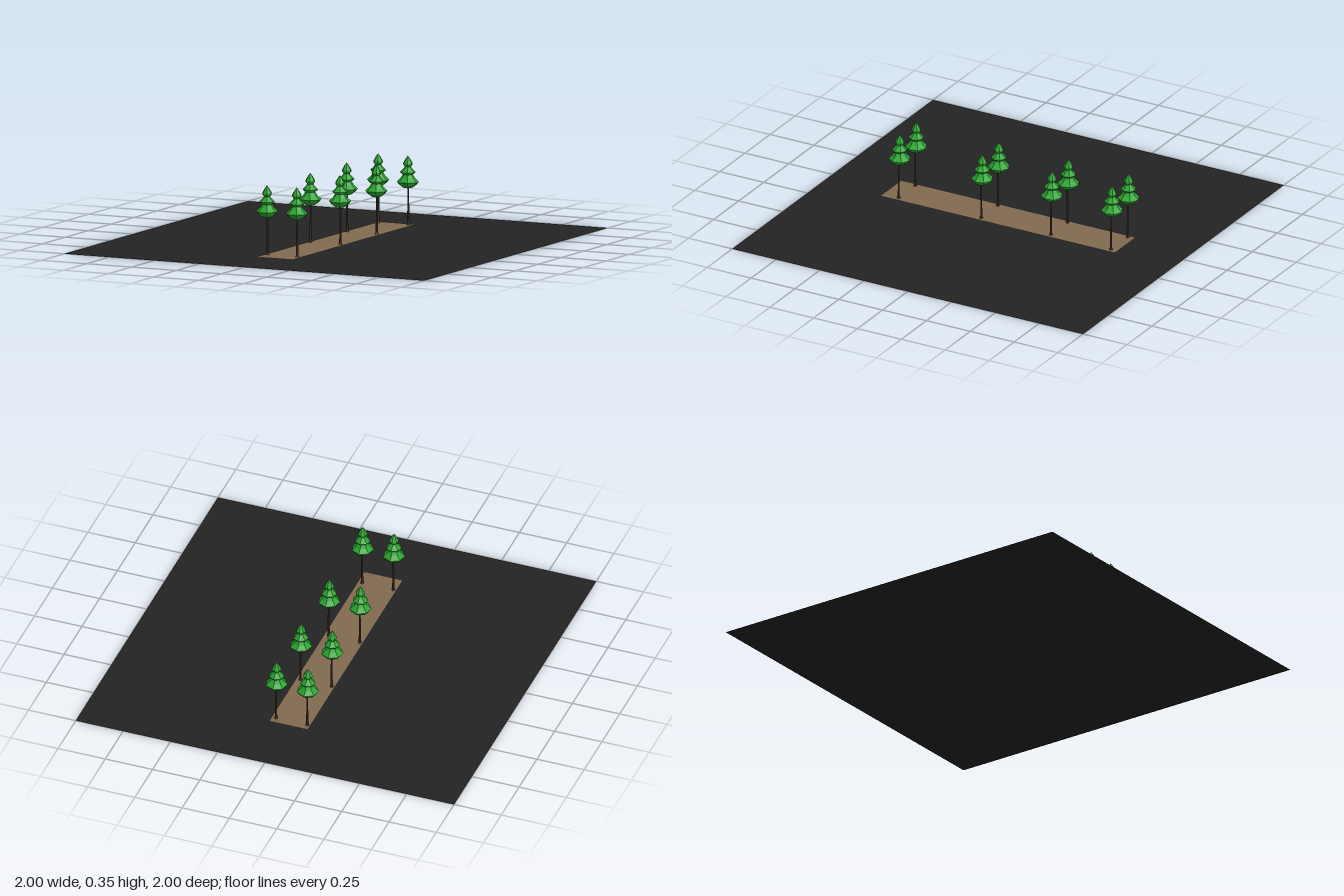
import * as THREE from 'three';

function material(name, color, side = THREE.FrontSide) {
  const m = new THREE.MeshStandardMaterial({ color, side });
  m.name = name;
  return m;
}

// Faceted solid of revolution from [radius, height] pairs, bottom to top
function facetedLathe(profile, sides, phiStart = 0) {
  const points = profile.map(([r, y]) => new THREE.Vector2(r, y));
  const geometry = new THREE.LatheGeometry(points, sides, phiStart).toNonIndexed();
  geometry.computeVertexNormals();
  return geometry;
}

function mesh(name, geometry, mat) {
  const m = new THREE.Mesh(geometry, mat);
  m.name = name;
  return m;
}

function flatPanel(name, width, depth, mat) {
  return mesh(name, new THREE.PlaneGeometry(width, depth).rotateX(-Math.PI / 2), mat);
}

export function createModel() {
  const group = new THREE.Group();
  group.name = 'treeLinedPath';

  const asphalt = material('dark ground', 0x232323, THREE.DoubleSide);
  const dirt = material('brown path', 0x836a50, THREE.DoubleSide);
  const bark = material('bark', 0x4a3626);
  const leaves = material('green foliage', 0x2aa530);

  // Ground sheet and the path laid on it
  group.add(flatPanel('ground', 2, 2, asphalt));
  const path = flatPanel('path', 0.2, 1.333, dirt);
  path.position.y = 0.002;
  group.add(path);

  // Slim trunk, flared at the root
  const trunkGeometry = facetedLathe(
    [[0.01, 0], [0.006, 0.012], [0.005, 0.08], [0.004, 0.2]], 6);

  // Three tiers of foliage over a rounded underside
  const foliageGeometry = facetedLathe([
    [0, 0.184], [0.026, 0.189], [0.046, 0.203], [0.056, 0.217],
    [0.036, 0.236], [0.025, 0.253],
    [0.036, 0.26], [0.039, 0.266], [0.022, 0.283], [0.015, 0.292],
    [0.023, 0.302], [0.024, 0.31], [0.012, 0.332], [0, 0.348],
  ], 7, Math.PI);

  // Pairs of trees along both edges of the path
  for (const z of [0.578, 0.107, -0.29, -0.633]) {
    for (const x of [-0.086, 0.079]) {
      const tree = new THREE.Group();
      tree.name = 'tree';
      const foliage = mesh('foliage', foliageGeometry, leaves);
      foliage.position.set(-0.004, 0, -0.003);
      tree.add(mesh('trunk', trunkGeometry, bark), foliage);
      tree.position.set(x, 0, z);
      group.add(tree);
    }
  }
  return group;
}
